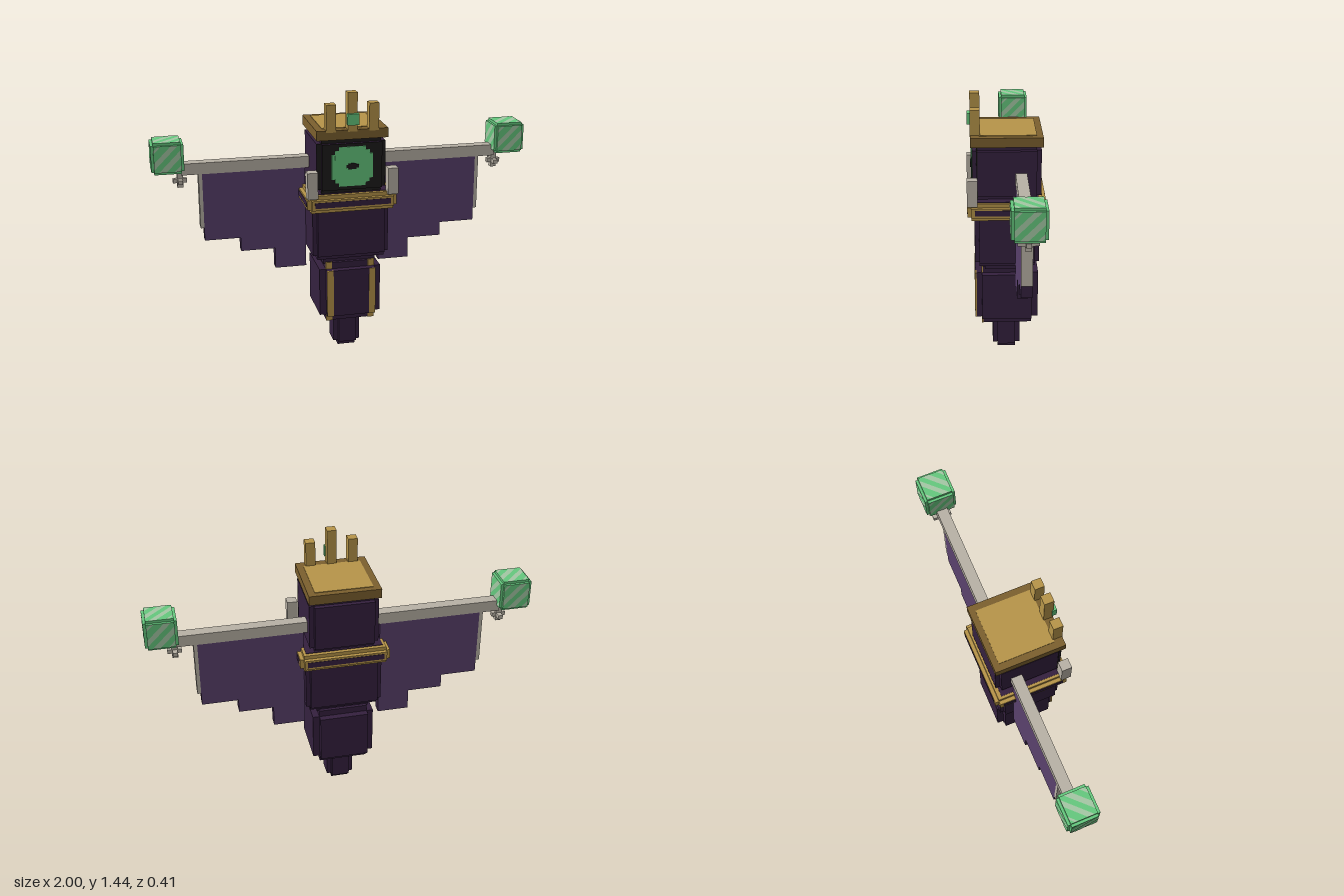
import * as THREE from 'three';

const mat = (name, color) => {
  const m = new THREE.MeshStandardMaterial({ color });
  m.name = name;
  return m;
};

export function createModel() {
  const robe = mat('dark purple', 0x35213f);
  const wingCloth = mat('wing purple', 0x5a416d);
  const gold = mat('gold', 0xb8964a);
  const bronze = mat('bronze', 0x7d612f);
  const bone = mat('bone grey', 0xbab3a7);
  const green = mat('gem green', 0x66ca7f);
  const paleGreen = mat('pale gem green', 0xa6c9a6);
  const black = mat('mask black', 0x1e1b1b);

  const model = new THREE.Group();
  model.name = 'wingedTotem';

  // Box given by its limits on each axis
  function box(name, m, x0, x1, y0, y1, z0, z1, parent = model) {
    const mesh = new THREE.Mesh(new THREE.BoxGeometry(x1 - x0, y1 - y0, z1 - z0), m);
    mesh.position.set((x0 + x1) / 2, (y0 + y1) / 2, (z0 + z1) / 2);
    mesh.name = name;
    parent.add(mesh);
    return mesh;
  }

  // Block with stepped edges: three crossing boxes, each full size on one axis
  function steppedBlock(name, m, [cx, cy, cz], [hx, hy, hz], step, parent = model) {
    const g = new THREE.Group();
    g.name = name;
    for (let axis = 0; axis < 3; axis++) {
      const h = [hx, hy, hz].map((v, i) => (i === axis ? v : v - step));
      box(name + 'Layer', m, -h[0], h[0], -h[1], h[1], -h[2], h[2], g);
    }
    g.position.set(cx, cy, cz);
    parent.add(g);
    return g;
  }

  // Body
  steppedBlock('tailTip', robe, [0, 0.095, 0], [0.073, 0.095, 0.073], 0.025);
  steppedBlock('lowerBody', robe, [0, 0.355, 0], [0.165, 0.165, 0.167], 0.035);
  box('waist', robe, -0.14, 0.14, 0.51, 0.56, -0.115, 0.115);
  steppedBlock('torso', robe, [0, 0.725, 0], [0.202, 0.178, 0.168], 0.023);

  // Gold stripes following the steps of the lower body
  for (const s of [-1, 1]) {
    const a = s > 0 ? 0.097 : -0.131, b = a + 0.034;
    box('stripeFront', gold, a, b, 0.225, 0.485, 0.16, 0.17);
    box('stripeTop', gold, a, b, 0.486, 0.523, 0.126, 0.134);
    box('stripeBottom', gold, a, b, 0.188, 0.224, 0.126, 0.134);
  }

  // Belt with dark inlays on all sides
  steppedBlock('belt', gold, [0, 0.864, 0], [0.236, 0.046, 0.205], 0.02);
  box('beltTopInlay', robe, -0.202, 0.202, 0.905, 0.913, -0.165, 0.165);
  for (const s of [-1, 1]) {
    const z = s * 0.203, x = s * 0.234;
    box('beltInlay', robe, -0.2, 0.2, 0.85, 0.88, z - 0.004, z + 0.004);
    box('beltSideInlay', robe, x - 0.004, x + 0.004, 0.85, 0.88, -0.165, 0.165);
    const px = s * 0.211;
    box('beltPost', bone, px - 0.027, px + 0.027, 0.9, 1.04, 0.152, 0.206);
  }

  // Head with a black mask
  steppedBlock('head', robe, [0, 1.055, 0], [0.18, 0.145, 0.177], 0.024);
  box('neck', robe, -0.14, 0.14, 0.89, 0.93, -0.14, 0.14);
  box('mask', black, -0.157, 0.157, 0.934, 1.177, 0.174, 0.18);
  box('maskSides', black, -0.181, 0.181, 0.934, 1.177, 0.15, 0.156);
  box('maskEdges', black, -0.157, 0.157, 0.909, 1.2, 0.15, 0.156);

  // Stepped green face and its dark eye
  [[0.108, 0.065], [0.09, 0.085], [0.07, 0.104]].forEach(([hx, hy], i) => {
    box('face', green, -hx, hx, 1.057 - hy, 1.057 + hy, 0.177, 0.183 + i * 0.0003);
  });
  box('eye', black, -0.032, 0.032, 1.05, 1.067, 0.18, 0.187);
  box('eyeCentre', black, -0.02, 0.02, 1.043, 1.074, 0.18, 0.1875);

  // Crown
  box('crownBrim', bronze, -0.186, 0.186, 1.2, 1.25, -0.184, 0.186);
  box('crownTop', gold, -0.15, 0.15, 1.246, 1.253, -0.152, 0.14);
  for (const [x, top] of [[-0.112, 1.382], [0, 1.44], [0.112, 1.382]]) {
    box('crownProng', gold, x - 0.025, x + 0.025, 1.24, top, 0.136, 0.187);
  }
  box('crownGem', green, -0.03, 0.03, 1.276, 1.334, 0.18, 0.203);

  // Wing outline, with dark edges around lighter cloth
  const outline = [[0.202, 1.0], [0.202, 0.447], [0.37, 0.447], [0.37, 0.56],
    [0.553, 0.56], [0.553, 0.635], [0.743, 0.635], [0.743, 1.0]];

  // Diagonal band across a square face of half size h
  function band(h, a, b) {
    const pts = a >= 0
      ? [[-h, a - h], [h - a, h], [h - b, h], [-h, b - h]]
      : [[-b - h, -h], [-a - h, -h], [h, h + a], [h, h + b]];
    return new THREE.Shape(pts.map(p => new THREE.Vector2(...p)));
  }
  const bands = [[0.015, 0.05], [0.1, 0.115], [-0.06, -0.022], [-0.12, -0.1]];
  const turns = [[0, 0], [0, Math.PI / 2], [0, Math.PI], [0, -Math.PI / 2],
    [Math.PI / 2, 0], [-Math.PI / 2, 0]];

  for (const s of [-1, 1]) {
    const side = new THREE.Group();
    side.name = s > 0 ? 'leftWing' : 'rightWing';
    model.add(side);
    const sbox = (name, m, x0, x1, ...rest) =>
      s > 0 ? box(name, m, x0, x1, ...rest, side) : box(name, m, -x1, -x0, ...rest, side);

    const shape = new THREE.Shape(outline.map(([x, y]) => new THREE.Vector2(s * x, y)));
    const cloth = new THREE.Mesh(
      new THREE.ExtrudeGeometry(shape, { depth: 0.056, bevelEnabled: false }), [wingCloth, robe]);
    cloth.position.z = -0.1;
    cloth.name = 'wingCloth';
    side.add(cloth);

    sbox('wingArm', bone, 0.15, 0.85, 1.0, 1.06, -0.102, -0.043);
    sbox('wingStrut', bone, 0.743, 0.762, 0.705, 1.0, -0.1, -0.044);

    // Small hanging cross below the arm's end
    sbox('pendantStem', bone, 0.84, 0.87, 0.932, 1.04, -0.088, -0.056);
    sbox('pendantBarX', bone, 0.82, 0.892, 0.956, 0.978, -0.085, -0.06);
    sbox('pendantBarZ', bone, 0.843, 0.867, 0.956, 0.978, -0.122, -0.022);

    // Gem cube with pale diagonal bands
    const gem = steppedBlock('gemCube', green, [s * 0.917, 1.105, -0.071], [0.083, 0.083, 0.083], 0.014, side);
    for (const [rx, ry] of turns) {
      const face = new THREE.Group();
      face.name = 'gemBands';
      face.rotation.set(rx, ry, 0);
      for (const [a, b] of bands) {
        const m = new THREE.Mesh(new THREE.ShapeGeometry(band(0.069, a, b)), paleGreen);
        m.position.z = 0.084;
        m.name = 'gemBand';
        face.add(m);
      }
      gem.add(face);
    }
  }
  return model;
}
